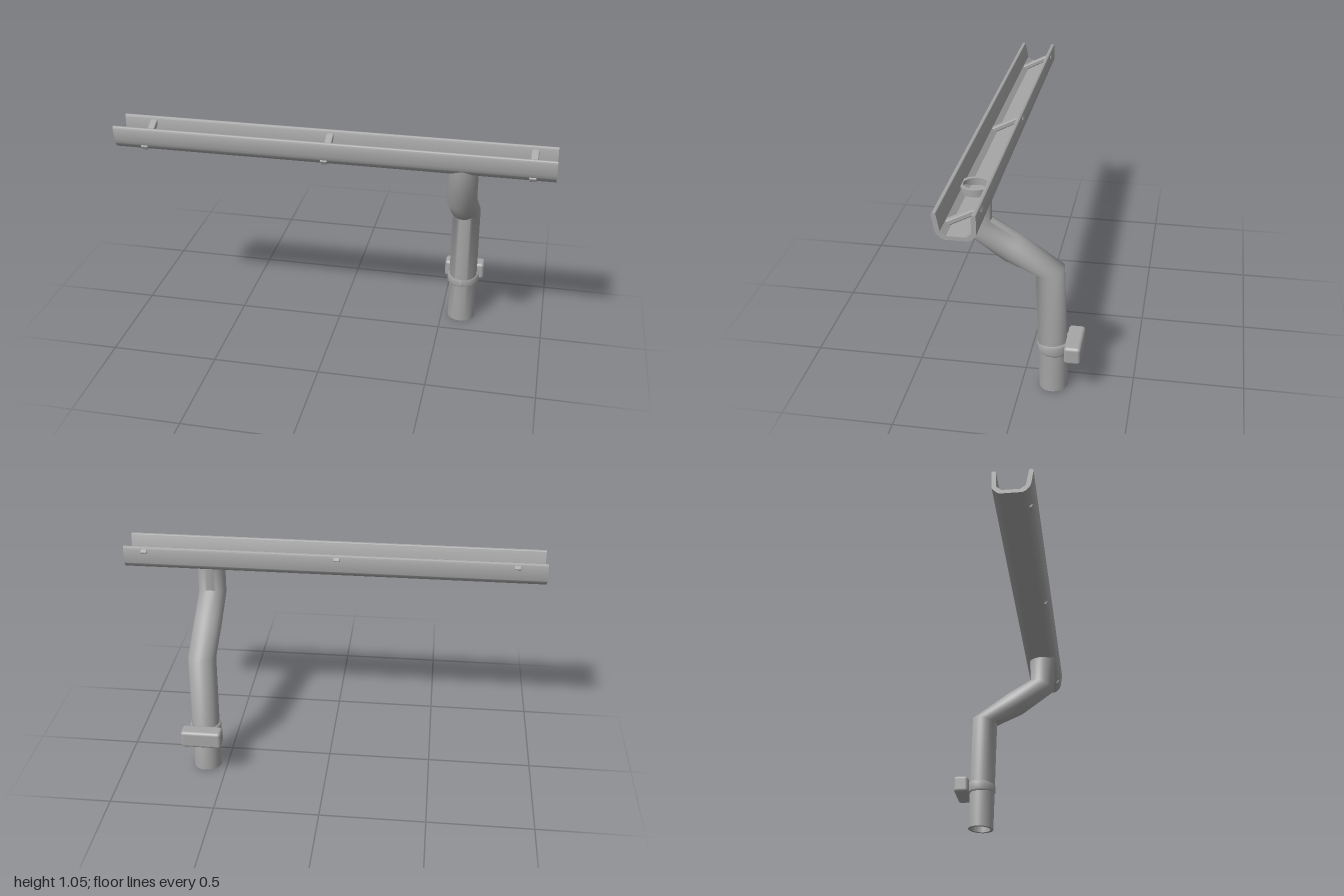
import * as THREE from 'three';
import { toCreasedNormals } from 'three/addons/utils/BufferGeometryUtils.js';
import { RoundedBoxGeometry } from 'three/addons/geometries/RoundedBoxGeometry.js';

const grey = new THREE.MeshStandardMaterial({ color: 0xa6a6a6 });
grey.name = 'grey';
const PIPE_X = 0.597;
const PIPE_R = 0.067;

function part(name, geometry) {
  const mesh = new THREE.Mesh(geometry, grey);
  mesh.name = name;
  return mesh;
}

// Open channel: profile in (z, y), extruded along x
function gutterGeometry() {
  const s = new THREE.Shape();
  s.moveTo(0.277, 1.045);
  s.lineTo(0.267, 0.985);
  s.quadraticCurveTo(0.264, 0.968, 0.253, 0.957);
  s.quadraticCurveTo(0.237, 0.941, 0.225, 0.941);
  s.lineTo(0.137, 0.941);
  s.quadraticCurveTo(0.126, 0.941, 0.113, 0.955);
  s.quadraticCurveTo(0.1, 0.966, 0.1, 0.975);
  s.lineTo(0.1, 1.045);
  s.absarc(0.11, 1.045, 0.01, Math.PI, 0, true);
  s.lineTo(0.12, 0.977);
  s.lineTo(0.141, 0.958);
  s.lineTo(0.221, 0.958);
  s.lineTo(0.244, 0.977);
  s.lineTo(0.257, 1.045);
  s.absarc(0.267, 1.045, 0.01, Math.PI, 0, true);
  const g = new THREE.ExtrudeGeometry(s, { depth: 2, bevelEnabled: false, curveSegments: 6 });
  g.rotateY(-Math.PI / 2);
  g.translate(1, 0, 0);
  return toCreasedNormals(g, 0.6);
}

// Bent hollow pipe: each ring is [front z, front y, back z, back y]
function pipeGeometry() {
  const rings = [
    [0.26, 0.99, 0.12, 0.99],
    [0.25, 0.77, 0.125, 0.83],
    [0.075, 0.642, 0, 0.755],
    [-0.06, 0.585, -0.19, 0.62],
    [-0.08, 0, -0.21, 0.006],
  ];
  const path = [
    ...rings.map(r => [r, 1]),
    ...rings.slice().reverse().map(r => [r, 0.76]),
  ];
  const N = 32, pos = [], idx = [];
  for (const [[fz, fy, bz, by], k] of path) {
    for (let j = 0; j < N; j++) {
      const a = j / N * Math.PI * 2, c = Math.cos(a) * k / 2;
      pos.push(PIPE_X + Math.sin(a) * PIPE_R * k,
        (fy + by) / 2 + c * (fy - by), (fz + bz) / 2 + c * (fz - bz));
    }
  }
  for (let i = 0; i < path.length; i++) {
    const n = (i + 1) % path.length;
    for (let j = 0; j < N; j++) {
      const m = (j + 1) % N;
      const a = i * N + j, b = i * N + m, c = n * N + j, d = n * N + m;
      idx.push(a, c, b, b, c, d);
    }
  }
  const g = new THREE.BufferGeometry();
  g.setAttribute('position', new THREE.Float32BufferAttribute(pos, 3));
  g.setIndex(idx);
  return toCreasedNormals(g, 1.0);
}

// Clamp band with a rounded section, taller towards the wall block
function bandGeometry() {
  const section = [[0.058, -0.02], [0.07, -0.024], [0.077, -0.016], [0.077, 0.016],
    [0.07, 0.024], [0.058, 0.02], [0.058, -0.02]].map(p => new THREE.Vector2(...p));
  const g = new THREE.LatheGeometry(section, 32);
  const p = g.attributes.position;
  for (let i = 0; i < p.count; i++) {
    const t = (0.077 - p.getZ(i)) / 0.154;
    p.setY(i, p.getY(i) * (0.95 + 0.35 * t) + 0.004 * t);
  }
  g.computeVertexNormals();
  return g;
}

export function createModel() {
  const model = new THREE.Group();
  model.name = 'gutterWithDownpipe';
  model.add(part('gutter', gutterGeometry()));
  model.add(part('downpipe', pipeGeometry()));

  // Diagonal straps through both gutter walls
  for (const x of [-0.86, -0.02, 0.9]) {
    const strap = part('strap', new RoundedBoxGeometry(0.034, 0.024, 0.185, 2, 0.006));
    strap.position.set(x, 0.996, 0.179);
    strap.rotation.x = Math.atan2(0.085, 0.165);
    model.add(strap);
  }

  // Wall clamp
  const clamp = new THREE.Group();
  clamp.name = 'clamp';
  const band = part('clampBand', bandGeometry());
  band.position.set(PIPE_X, 0.218, -0.146);
  const block = part('clampBlock', new RoundedBoxGeometry(0.195, 0.086, 0.075, 4, 0.016));
  block.position.set(PIPE_X, 0.222, -0.238);
  clamp.add(band, block);
  model.add(clamp);
  return model;
}
